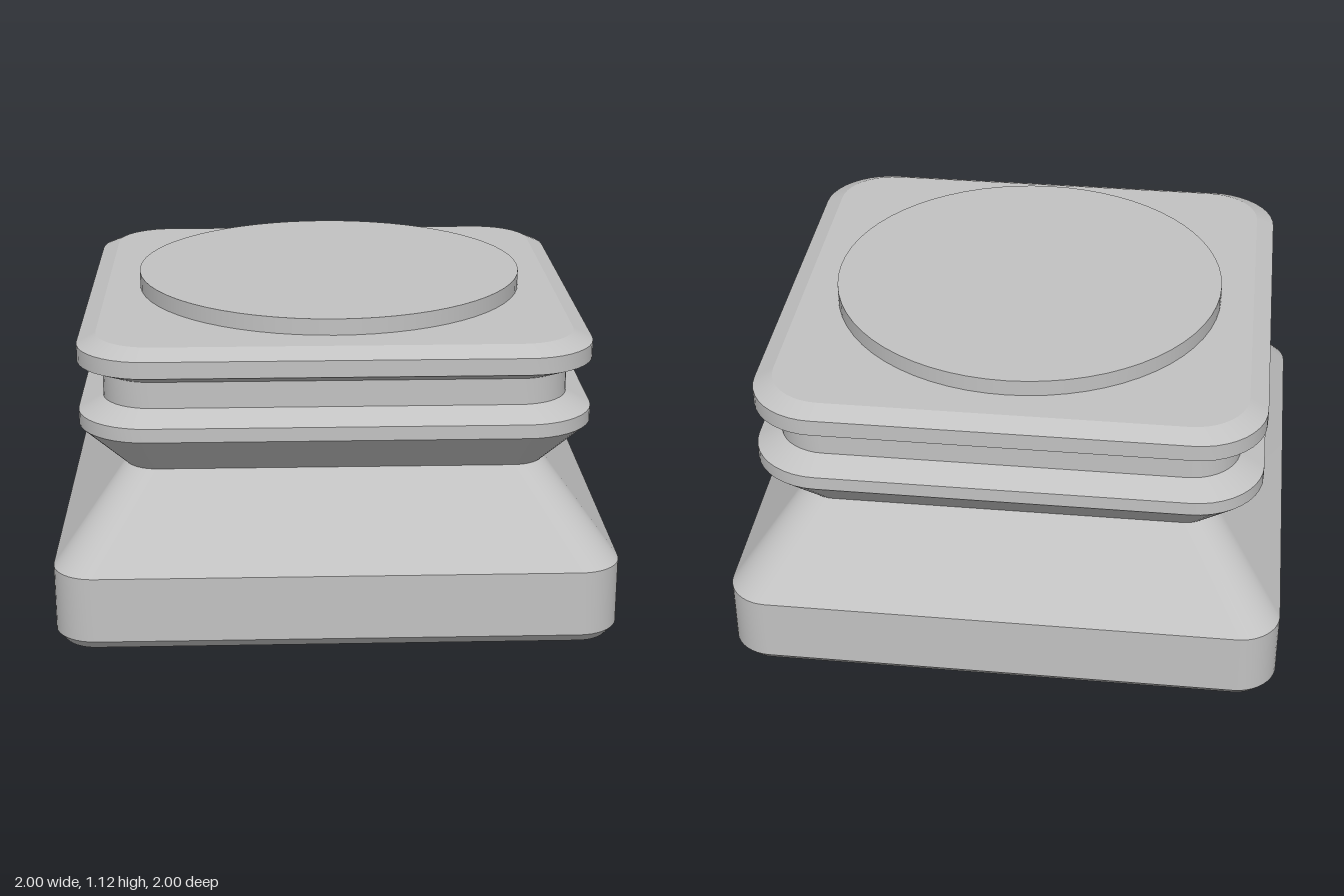
import * as THREE from 'three';

const stone = new THREE.MeshStandardMaterial({ color: 0xc2c2c2 });
stone.name = 'grey';

const ARC = 10; // segments per rounded corner

// Rounded square ring at one height
function ring([half, y, r]) {
  const pts = [];
  for (let c = 0; c < 4; c++) {
    const mid = (c + 0.5) * Math.PI / 2;
    const cx = Math.sign(Math.cos(mid)) * (half - r);
    const cz = Math.sign(Math.sin(mid)) * (half - r);
    for (let i = 0; i <= ARC; i++) {
      const a = (c + i / ARC) * Math.PI / 2;
      pts.push(cx + r * Math.cos(a), y, cz + r * Math.sin(a));
    }
  }
  return pts;
}

// Bands between rings: smooth around the corners, sharp between bands
function loft(profile) {
  const pos = [], index = [], n = 4 * (ARC + 1);
  for (let k = 0; k < profile.length - 1; k++) {
    const base = pos.length / 3;
    pos.push(...ring(profile[k]), ...ring(profile[k + 1]));
    for (let i = 0; i < n; i++) {
      const a = base + i, b = base + (i + 1) % n;
      index.push(a, a + n, b + n, a, b + n, b);
    }
  }
  const g = new THREE.BufferGeometry();
  g.setAttribute('position', new THREE.Float32BufferAttribute(pos, 3));
  g.setIndex(index);
  g.computeVertexNormals();
  return g;
}

export function createModel() {
  const group = new THREE.Group();
  const add = (name, geometry) => {
    const mesh = new THREE.Mesh(geometry, stone);
    mesh.name = name;
    group.add(mesh);
    return mesh;
  };

  // Each row: half width, height, corner radius
  add('plinth', loft([
    [0, 0, 0], [0.97, 0, 0.12], [1, 0.035, 0.15], [1, 0.273, 0.15], [0.75, 0.585, 0.12],
  ]));
  add('flaredCollar', loft([
    [0.75, 0.585, 0.12], [0.907, 0.74, 0.25], [0.907, 0.79, 0.25], [0.82, 0.835, 0.18],
  ]));
  add('neck', loft([[0.82, 0.835, 0.18], [0.82, 0.93, 0.18]]));
  add('topSlab', loft([
    [0.82, 0.93, 0.18], [0.907, 0.97, 0.25], [0.907, 1.03, 0.25], [0.84, 1.062, 0.2], [0, 1.062, 0],
  ]));

  // Round seat on top
  add('topDisc', new THREE.CylinderGeometry(0.718, 0.718, 0.07, 64)).position.y = 1.086;

  return group;
}
